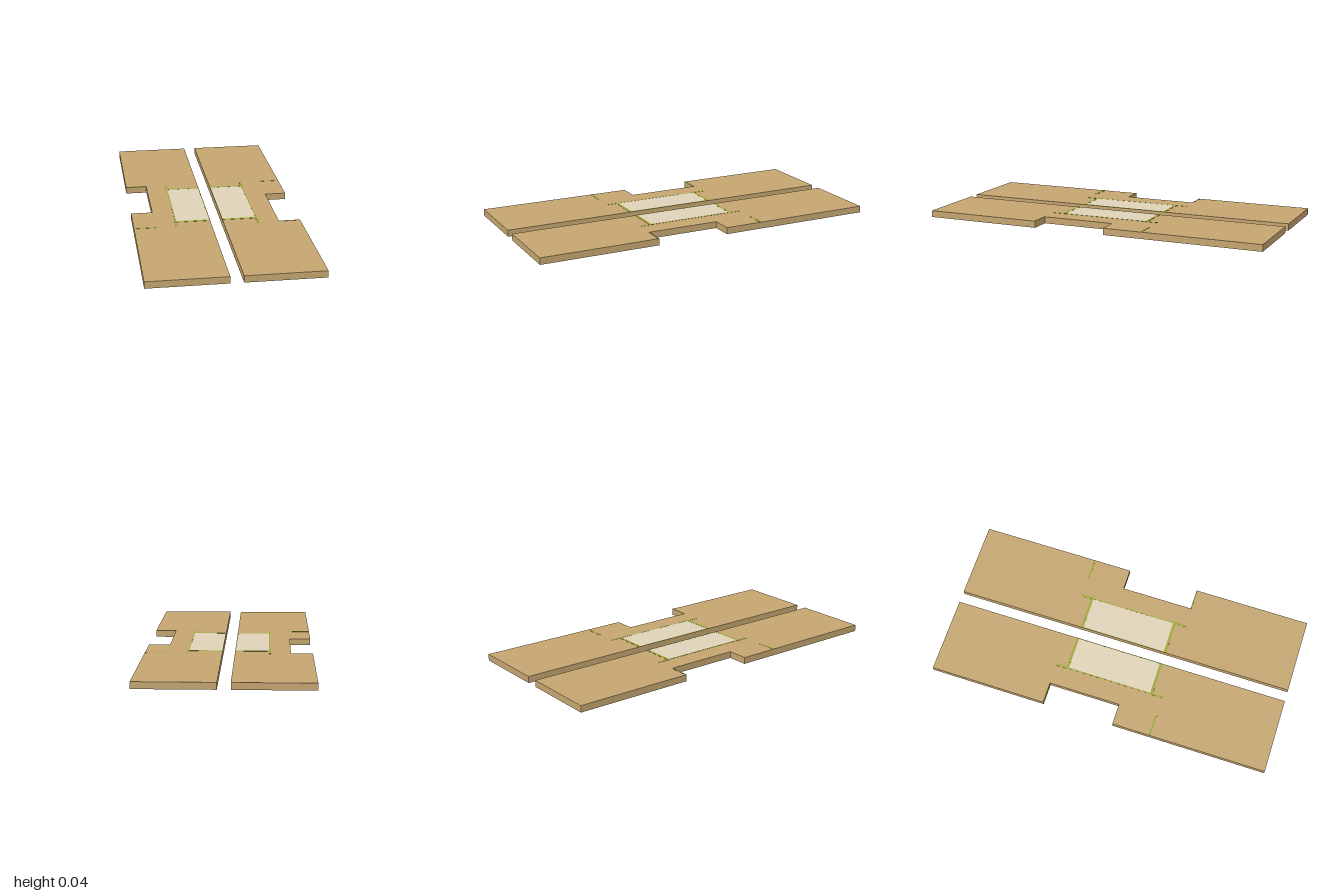
import * as THREE from 'three';

const TOP = 0.038;
const mat = (color) => new THREE.MeshStandardMaterial({ color });
const wood = mat(0xc4a570);
const pale = mat(0xdfd3b8);
const green = mat(0x9fa63a);

// Thin rectangle inlaid in the top face, given by its x and z limits
function inlay(name, material, x0, x1, z0, z1, rise) {
  const h = 0.004;
  const mesh = new THREE.Mesh(new THREE.BoxGeometry(x1 - x0, h, z1 - z0), material);
  mesh.position.set((x0 + x1) / 2, TOP + rise - h / 2, (z0 + z1) / 2);
  mesh.name = name;
  return mesh;
}

function createPlank(name) {
  const plank = new THREE.Group();
  plank.name = name;

  // Board outline with a notch in its outer edge (shape y is -z)
  const outline = new THREE.Shape([
    [-0.47, -1], [-0.035, -1], [-0.035, 1], [-0.47, 1],
    [-0.47, 0.32], [-0.348, 0.32], [-0.348, -0.098], [-0.47, -0.098],
  ].map(([x, y]) => new THREE.Vector2(x, y)));
  const geometry = new THREE.ExtrudeGeometry(outline, { depth: TOP, bevelEnabled: false });
  geometry.rotateX(-Math.PI / 2);
  const board = new THREE.Mesh(geometry, wood);
  board.name = 'board';
  plank.add(board);

  // Pale panel beside the centre gap
  plank.add(inlay('panel', pale, -0.226, -0.039, -0.25, 0.25, 0.0006));

  // Green marking lines: panel border, long side line, notch marks
  const lines = [
    [-0.236, -0.035, -0.263, -0.248],
    [-0.236, -0.035, 0.248, 0.263],
    [-0.039, -0.035, -0.248, 0.248],
    [-0.232, -0.226, -0.248, 0.248],
    [-0.236, -0.224, -0.325, -0.263],
    [-0.236, -0.224, 0.263, 0.325],
    [-0.47, -0.348, 0.314, 0.326],
    [-0.47, -0.348, -0.326, -0.32],
  ];
  for (const [x0, x1, z0, z1] of lines) {
    plank.add(inlay('markingLine', green, x0, x1, z0, z1, 0.001));
  }
  return plank;
}

export function createModel() {
  const model = new THREE.Group();
  model.name = 'notchedPlanks';
  const right = createPlank('rightPlank');
  // The other plank is the same part turned half way round
  const left = createPlank('leftPlank');
  left.rotation.y = Math.PI;
  model.add(right, left);
  return model;
}
